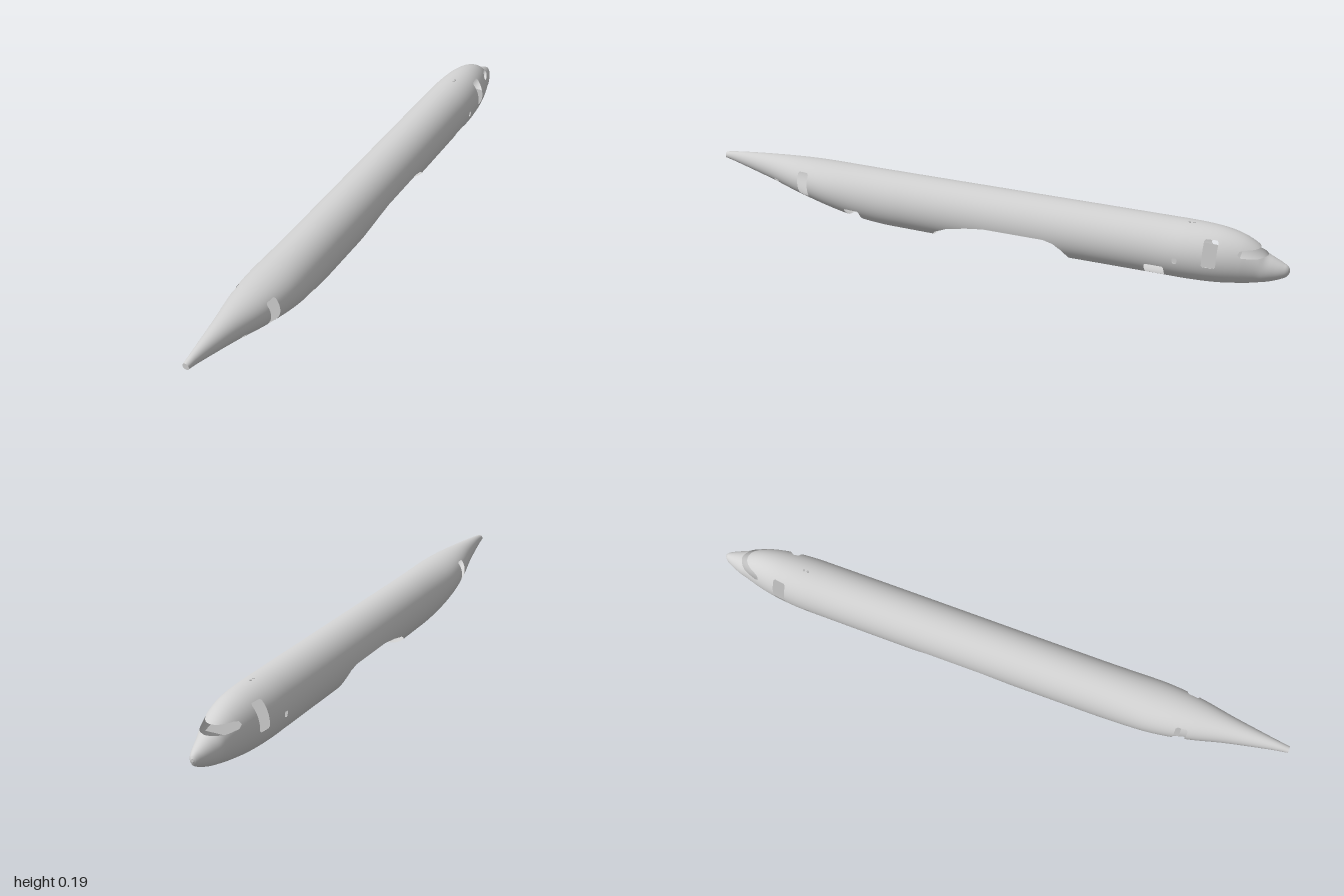
import * as THREE from 'three';

// Fuselage stations, nose to tail: z, half width, bottom y, top y
const STATIONS = [
  [-1, 0.004, 0.072, 0.082], [-0.995, 0.011, 0.061, 0.091], [-0.98, 0.021, 0.05, 0.1],
  [-0.95, 0.034, 0.037, 0.114], [-0.925, 0.043, 0.029, 0.126], [-0.905, 0.049, 0.024, 0.145],
  [-0.88, 0.057, 0.018, 0.161], [-0.85, 0.066, 0.013, 0.174], [-0.8, 0.077, 0.006, 0.186],
  [-0.75, 0.084, 0.002, 0.191], [-0.68, 0.089, 0, 0.193], [-0.62, 0.0895, 0, 0.193],
  [0.3, 0.0895, 0, 0.193], [0.38, 0.0895, 0.002, 0.193], [0.48, 0.0895, 0.014, 0.193],
  [0.56, 0.088, 0.032, 0.193], [0.63, 0.081, 0.05, 0.193], [0.7, 0.069, 0.068, 0.192],
  [0.8, 0.046, 0.096, 0.188], [0.9, 0.027, 0.122, 0.181], [0.97, 0.015, 0.14, 0.174],
  [1, 0.011, 0.147, 0.169],
];
const SIDES = 72;

const spline = new THREE.CubicInterpolant(
  STATIONS.map((s) => s[0]), STATIONS.flatMap((s) => s.slice(1)), 3, new Array(3));

function sectionAt(z) {
  const [w, bottom, top] = spline.evaluate(z);
  return { w, cy: (top + bottom) / 2, h: (top - bottom) / 2 };
}

// Openings are convex outlines in (z, y); side is +1, -1 or 0 for both
const rect = (z0, z1, y0, y1, c = 0.005) => [
  [z0 + c, y0], [z1 - c, y0], [z1, y0 + c], [z1, y1 - c],
  [z1 - c, y1], [z0 + c, y1], [z0, y1 - c], [z0, y0 + c],
];
const OPENINGS = [
  { side: 0, pts: rect(0.64, 0.68, 0.083, 0.168) },              // rear doors
  { side: 0, pts: rect(-0.782, -0.738, 0.083, 0.168) },          // front doors
  { side: 1, pts: rect(0.445, 0.502, 0.014, 0.064) },            // rear cargo door
  { side: 1, pts: rect(-0.62, -0.556, 0.014, 0.06) },            // front cargo door
  { side: 1, pts: rect(0.77, 0.79, 0.104, 0.117, 0.003) },       // rear hatch
  { side: 0, pts: rect(-0.662, -0.647, 0.082, 0.1, 0.003) },     // small side ports
  { side: 0, pts: [[-0.96, 0.125], [-0.895, 0.12], [-0.855, 0.123], [-0.843, 0.132],
    [-0.847, 0.142], [-0.86, 0.145], [-0.96, 0.145]] },          // windscreen
  { side: 0, pts: [[-0.3, -0.01], [0.185, -0.01], [0.185, 0.012], [0.165, 0.035], [0.12, 0.058],
    [0.05, 0.075], [-0.02, 0.085], [-0.22, 0.085], [-0.255, 0.075], [-0.28, 0.055],
    [-0.297, 0.03], [-0.3, 0.012]] },                            // wing bay
];

// Splits a polygon of {p, n} corners along one edge line of an opening
function split(poly, a, b) {
  const dist = (v) => (b[0] - a[0]) * (v.p.y - a[1]) - (b[1] - a[1]) * (v.p.z - a[0]);
  const inside = [], outside = [];
  poly.forEach((v, i) => {
    const next = poly[(i + 1) % poly.length];
    const d0 = dist(v), d1 = dist(next);
    (d0 >= 0 ? inside : outside).push(v);
    if ((d0 >= 0) !== (d1 >= 0)) {
      const t = d0 / (d0 - d1);
      const cut = { p: v.p.clone().lerp(next.p, t), n: v.n.clone().lerp(next.n, t) };
      inside.push(cut);
      outside.push(cut);
    }
  });
  return { inside, outside };
}

// Removes an opening from a polygon, returning the pieces that remain
function subtract(poly, { side, pts }) {
  const midX = poly.reduce((sum, v) => sum + v.p.x, 0);
  if (side !== 0 && midX * side < 0) return [poly];
  const kept = [];
  let rest = poly;
  for (let i = 0; i < pts.length; i++) {
    const { inside, outside } = split(rest, pts[i], pts[(i + 1) % pts.length]);
    if (inside.length < 3) return [poly];
    if (outside.length > 2) kept.push(outside);
    rest = inside;
  }
  return kept;
}

function shellGeometry() {
  // Rings of the smooth uncut skin
  const zs = [];
  for (let i = 0; i < STATIONS.length - 1; i++) {
    const z0 = STATIONS[i][0], dz = STATIONS[i + 1][0] - z0;
    const steps = dz > 0.5 ? 16 : 4;
    for (let k = 0; k < steps; k++) zs.push(z0 + (dz * k) / steps);
  }
  zs.push(1);
  const pos = [], index = [];
  zs.forEach((z, r) => {
    const { w, cy, h } = sectionAt(z);
    for (let i = 0; i < SIDES; i++) {
      const a = (i / SIDES) * Math.PI * 2;
      pos.push(w * Math.sin(a), cy - h * Math.cos(a), z);
      if (r === zs.length - 1) continue;
      const j = (i + 1) % SIDES, p = r * SIDES, q = p + SIDES;
      index.push(p + i, p + j, q + j, p + i, q + j, q + i);
    }
  });
  const skin = new THREE.BufferGeometry();
  skin.setAttribute('position', new THREE.Float32BufferAttribute(pos, 3));
  skin.setIndex(index);
  skin.computeVertexNormals();

  // Cut the openings out of every triangle
  const P = skin.attributes.position, N = skin.attributes.normal;
  const outP = [], outN = [];
  for (let i = 0; i < index.length; i += 3) {
    let pieces = [index.slice(i, i + 3).map((k) => ({
      p: new THREE.Vector3().fromBufferAttribute(P, k),
      n: new THREE.Vector3().fromBufferAttribute(N, k),
    }))];
    for (const opening of OPENINGS) pieces = pieces.flatMap((poly) => subtract(poly, opening));
    for (const poly of pieces) {
      for (let k = 1; k < poly.length - 1; k++) {
        for (const v of [poly[0], poly[k], poly[k + 1]]) {
          outP.push(v.p.x, v.p.y, v.p.z);
          const n = v.n.clone().normalize();
          outN.push(n.x, n.y, n.z);
        }
      }
    }
  }
  const geo = new THREE.BufferGeometry();
  geo.setAttribute('position', new THREE.Float32BufferAttribute(outP, 3));
  geo.setAttribute('normal', new THREE.Float32BufferAttribute(outN, 3));
  return geo;
}

// Flat deck following the inside of the shell; facing is +1 for down, -1 for up
function deckGeometry(y, facing) {
  const left = [], right = [];
  for (let i = 0; i <= 60; i++) {
    const z = -0.84 + (1.5 * i) / 60;
    const { w, cy, h } = sectionAt(z);
    const x = 0.98 * w * Math.sqrt(Math.max(0, 1 - ((y - cy) / h) ** 2));
    left.push(new THREE.Vector2(x, z * facing));
    right.unshift(new THREE.Vector2(-x, z * facing));
  }
  return new THREE.ShapeGeometry(new THREE.Shape([...left, ...right]))
    .rotateX((facing * Math.PI) / 2).translate(0, y, 0);
}

export function createModel() {
  const group = new THREE.Group();
  group.name = 'fuselage';
  const material = (name, color, side = THREE.FrontSide) => {
    const m = new THREE.MeshStandardMaterial({ color, side });
    m.name = name;
    return m;
  };
  const skin = material('lightGreySkin', 0xd2d2d2, THREE.DoubleSide);
  const deckGrey = material('deckGrey', 0xb4b4b4);
  const black = material('undersideBlack', 0x060606);

  const add = (name, geometry, mat) => {
    const mesh = new THREE.Mesh(geometry, mat);
    mesh.name = name;
    group.add(mesh);
    return mesh;
  };

  add('shell', shellGeometry(), skin);
  add('floorUnderside', deckGeometry(0.082, 1), black);
  add('floorTop', deckGeometry(0.083, -1), deckGrey);

  // End caps
  add('tailCap', new THREE.CircleGeometry(0.011, 32), skin).position.set(0, 0.158, 1);
  const nose = add('noseCap', new THREE.CircleGeometry(0.0045, 24), skin);
  nose.position.set(0, 0.077, -1);
  nose.rotation.y = Math.PI;

  // Small roof fittings
  for (const z of [-0.692, -0.678]) {
    add('roofFitting', new THREE.CylinderGeometry(0.004, 0.004, 0.002, 16), deckGrey)
      .position.set(0.005, 0.1925, z);
  }
  return group;
}
